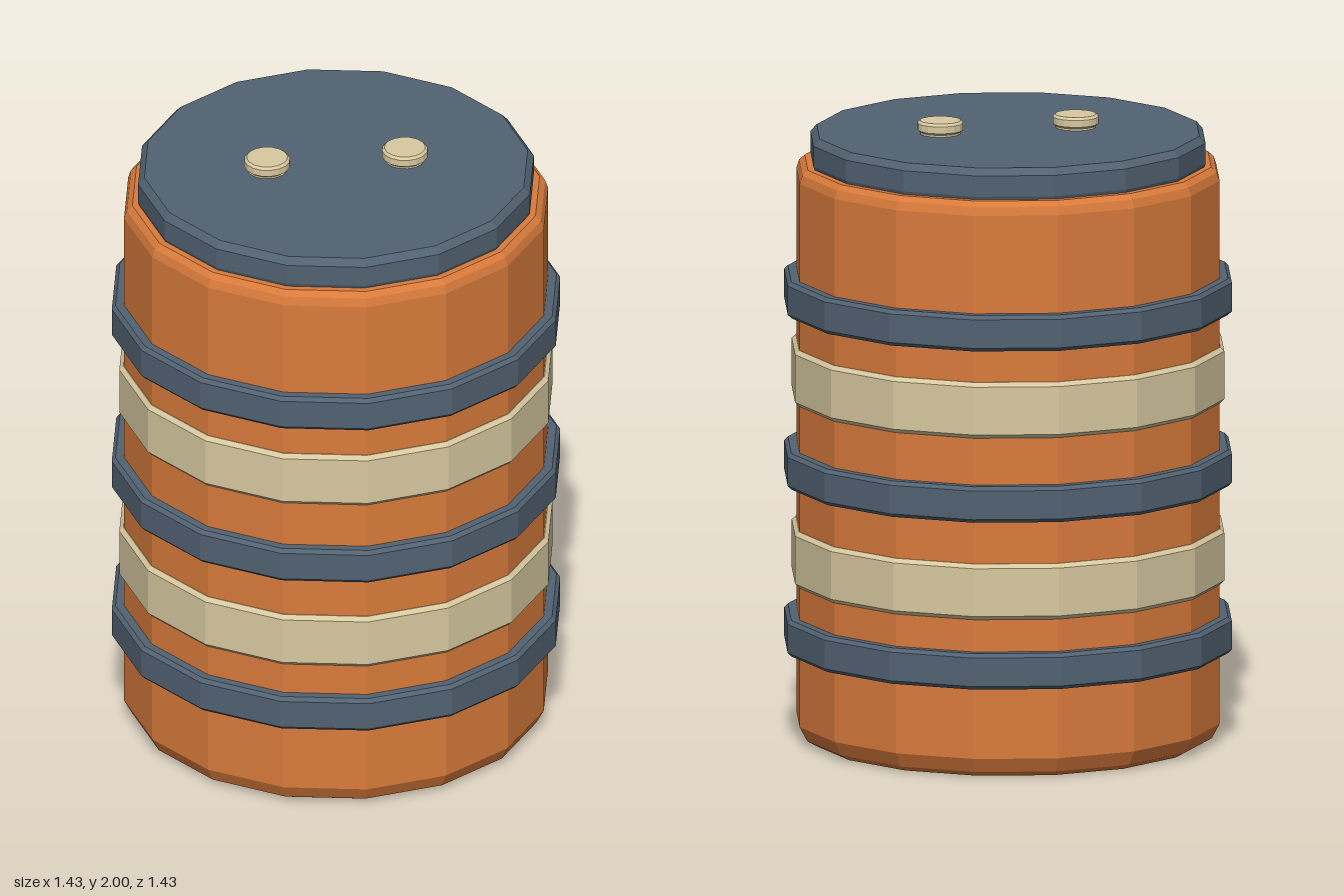
import * as THREE from 'three';

const material = (name, color) => {
  const m = new THREE.MeshStandardMaterial({ color, flatShading: true });
  m.name = name;
  return m;
};

export function createModel() {
  const orange = material('orange', 0xd97b3c);
  const slate = material('slate', 0x526272);
  const cream = material('cream', 0xd8c9a0);
  const model = new THREE.Group();
  model.name = 'barrel';

  // Faceted solid of revolution from [radius, height] points, bottom to top
  const turned = (name, mat, profile, sides = 16) => {
    const points = profile.map(([r, y]) => new THREE.Vector2(r, y));
    const mesh = new THREE.Mesh(new THREE.LatheGeometry(points, sides), mat);
    mesh.name = name;
    model.add(mesh);
    return mesh;
  };

  // Closed ring around the body with bevelled outer edges
  const ring = (name, mat, r, y0, y1, bevel) => turned(name, mat, [
    [0.65, y0], [r - bevel, y0], [r, y0 + bevel],
    [r, y1 - bevel], [r - bevel, y1], [0.65, y1],
  ]);

  // Body with rounded rims
  turned('body', orange, [
    [0, 0], [0.62, 0], [0.652, 0.018], [0.677, 0.065],
    [0.677, 1.815], [0.668, 1.842], [0.65, 1.858], [0, 1.858],
  ]);

  // Hoops and painted bands
  [0.352, 0.89, 1.442].forEach((y) => ring('hoop', slate, 0.716, y - 0.058, y + 0.058, 0.012));
  [0.604, 1.189].forEach((y) => ring('band', cream, 0.692, y - 0.09, y + 0.09, 0.013));

  // Lid
  turned('lid', slate, [
    [0, 1.85], [0.625, 1.85], [0.632, 1.868], [0.632, 1.935], [0.612, 1.957], [0, 1.957],
  ]);

  // Pair of bungs on the lid
  for (const side of [-1, 1]) {
    turned('bung', cream, [
      [0, 1.95], [0.064, 1.95], [0.064, 1.963], [0.073, 1.97],
      [0.073, 1.992], [0.065, 2], [0, 2],
    ], 16).position.x = side * 0.22;
  }
  return model;
}
